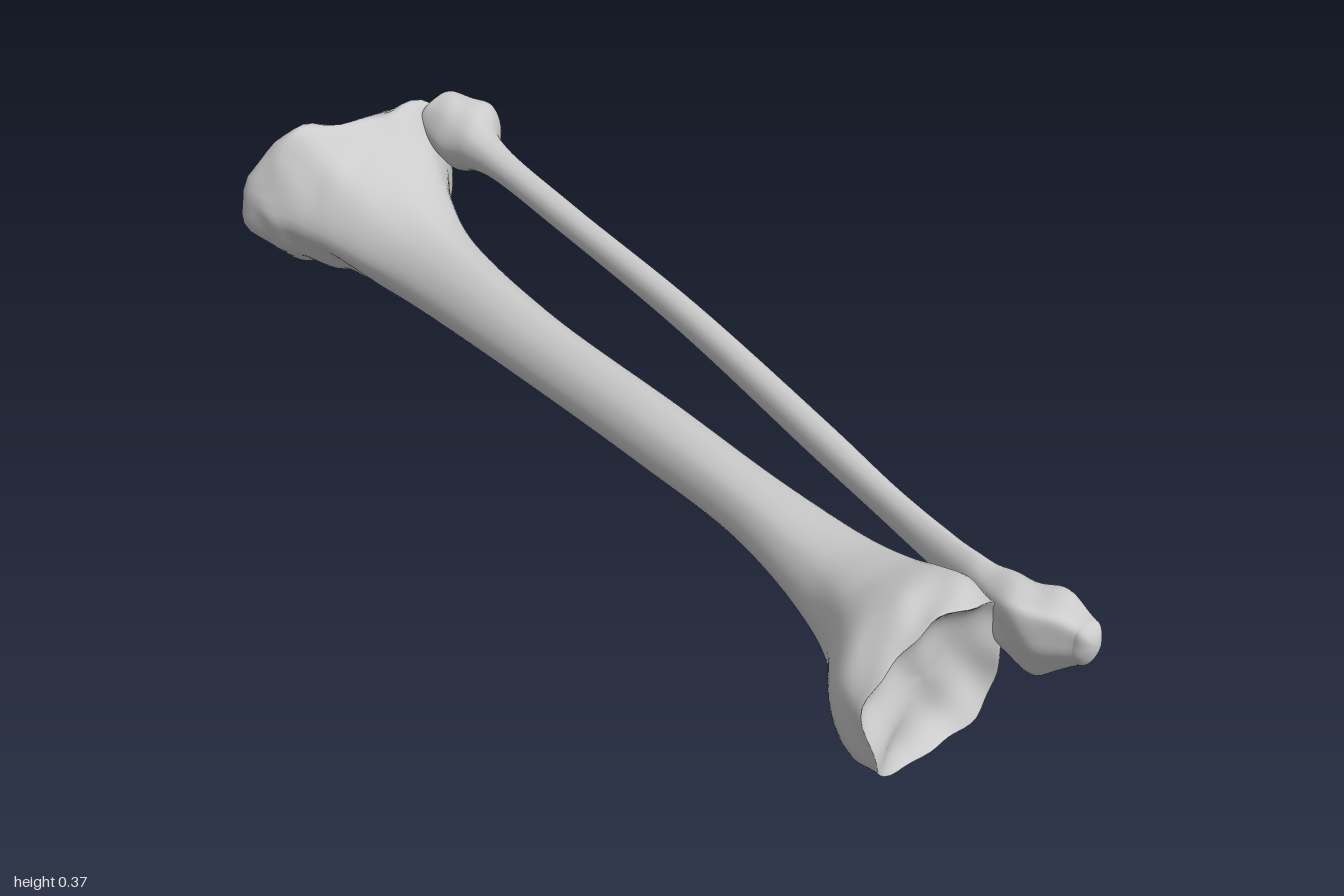
import * as THREE from 'three';

const COLS = 56, STEPS = 9;
const { smoothstep } = THREE.MathUtils;
const bump = (dx, dy, r) => Math.exp(-(dx * dx + dy * dy) / (r * r));

// Section: z, centre x, centre y, then 8 radii counter-clockwise from +x
// (or just rx, ry for an ellipse). Ordered from the front end to the back end.
const TIBIA = [
  [0.87, -0.105, 0.12, 0.12, 0.142, 0.11, 0.1, 0.132, 0.146, 0.114, 0.12],
  [0.8, -0.105, 0.12, 0.112, 0.148, 0.115, 0.105, 0.125, 0.145, 0.115, 0.11],
  [0.7, -0.075, 0.125, 0.095, 0.105, 0.085, 0.085, 0.085, 0.1, 0.095, 0.09],
  [0.6, -0.055, 0.125, 0.075, 0.08, 0.068, 0.07, 0.075, 0.075, 0.068, 0.07],
  [0.4, -0.04, 0.137, 0.06, 0.058, 0.055, 0.06, 0.06, 0.055, 0.052, 0.054],
  [0.1, -0.027, 0.137, 0.06, 0.058, 0.06, 0.06, 0.06, 0.055, 0.06, 0.065],
  [-0.3, -0.018, 0.137, 0.062, 0.062, 0.067, 0.065, 0.067, 0.06, 0.068, 0.075],
  [-0.6, -0.005, 0.14, 0.082, 0.085, 0.085, 0.08, 0.085, 0.075, 0.08, 0.1],
  [-0.7, 0, 0.15, 0.1, 0.11, 0.105, 0.105, 0.11, 0.09, 0.098, 0.125],
  [-0.8, 0, 0.18, 0.14, 0.15, 0.125, 0.15, 0.155, 0.115, 0.137, 0.16],
  [-0.87, 0, 0.2, 0.19, 0.205, 0.145, 0.212, 0.212, 0.16, 0.15, 0.165],
  [-0.92, 0, 0.2, 0.203, 0.2, 0.135, 0.212, 0.233, 0.17, 0.138, 0.16],
  [-0.95, 0, 0.2, 0.188, 0.175, 0.118, 0.185, 0.212, 0.152, 0.115, 0.148],
];
const FIBULA = [
  [0.98, 0.065, 0.19, 0.025, 0.03, 0.03, 0.03, 0.025, 0.03, 0.04, 0.03],
  [0.92, 0.045, 0.18, 0.048, 0.065, 0.052, 0.07, 0.045, 0.046, 0.075, 0.055],
  [0.85, 0.042, 0.18, 0.036, 0.05, 0.052, 0.052, 0.038, 0.045, 0.06, 0.05],
  [0.78, 0.048, 0.187, 0.027, 0.04],
  [0.6, 0.057, 0.205, 0.022, 0.03],
  [0.4, 0.07, 0.23, 0.025, 0.03],
  [0, 0.105, 0.268, 0.025, 0.028],
  [-0.4, 0.133, 0.29, 0.026, 0.026],
  [-0.65, 0.152, 0.302, 0.032, 0.03],
  [-0.72, 0.16, 0.302, 0.044, 0.044],
  [-0.78, 0.17, 0.3, 0.068, 0.075, 0.065, 0.06, 0.065, 0.06, 0.062, 0.07],
  [-0.84, 0.155, 0.32, 0.045, 0.054, 0.052, 0.05, 0.045, 0.045, 0.045, 0.045],
];

// Smooth closed outline of one section
function outline([z, cx, cy, ...r]) {
  const pts = [];
  for (let i = 0; i < 8; i++) {
    const a = i * Math.PI / 4, c = Math.cos(a), s = Math.sin(a);
    const [rx, ry] = r.length === 2 ? r : [r[i], r[i]];
    pts.push(new THREE.Vector3(cx + rx * c, cy + ry * s, z));
  }
  const curve = new THREE.CatmullRomCurve3(pts, true);
  return Array.from({ length: COLS }, (_, j) => curve.getPoint(j / COLS));
}

// Skin through the sections, closed by a domed cap at each end
function boneGeometry(sections, dome, warp) {
  const outlines = sections.map(outline);
  const columns = Array.from({ length: COLS }, (_, j) =>
    new THREE.CatmullRomCurve3(outlines.map(o => o[j])));
  const rows = [];
  const capRow = (k, s, dir) => {
    const [z, cx, cy] = sections[k];
    const zc = z + dir * dome * Math.sqrt(1 - s * s);
    rows.push(outlines[k].map(p => warp(new THREE.Vector3(
      cx + (p.x - cx) * s, cy + (p.y - cy) * s, zc), s)));
  };
  const scales = [0, 0.12, 0.25, 0.38, 0.5, 0.62, 0.73, 0.82, 0.9, 0.96, 0.99];
  const last = sections.length - 1, n = last * STEPS;
  scales.forEach(s => capRow(0, s, 1));
  for (let i = 0; i <= n; i++) rows.push(columns.map(c => warp(c.getPoint(i / n), 1)));
  [...scales].reverse().forEach(s => capRow(last, s, -1));

  const index = [];
  for (let i = 0; i < rows.length - 1; i++) {
    for (let j = 0; j < COLS; j++) {
      const a = i * COLS + j, c = i * COLS + (j + 1) % COLS;
      index.push(a, a + COLS, c, c, a + COLS, c + COLS);
    }
  }
  const geo = new THREE.BufferGeometry().setFromPoints(rows.flat());
  geo.setIndex(index);
  geo.computeVertexNormals();
  return geo;
}

// Slight unevenness of the bone ends
function roughen(p, amount) {
  p.x += amount * Math.sin(p.y * 61 + p.z * 47);
  p.y += amount * Math.sin(p.x * 53 + p.z * 71 + 1);
  p.z += amount * Math.sin(p.x * 67 + p.y * 43 + 2);
  return p;
}

function warpTibia(p, s) {
  const { x, y, z } = p;
  const ankle = smoothstep(z, 0.74, 0.87), knee = smoothstep(-z, 0.82, 0.95);
  const inner = 1 - s ** 5;
  // ankle: inner projection and a dished joint face
  p.z += ankle * (0.03 * bump(x + 0.2, y - 0.06, 0.05) + 0.012 * bump(x + 0.05, y - 0.21, 0.06));
  p.z -= ankle * inner * 0.04;
  // knee: sloping plateau, two shallow dishes and a central peak
  p.z += knee * 0.35 * Math.max(0, y - 0.24);
  p.z += knee * inner * 0.02 * (bump(x + 0.12, y - 0.23, 0.08) + bump(x - 0.11, y - 0.22, 0.08));
  p.z -= knee * inner * 0.04 * bump(x + 0.01, y - 0.22, 0.05);
  return roughen(p, 0.003 * Math.max(ankle, smoothstep(-z, 0.7, 0.9)));
}

function warpFibula(p) {
  return roughen(p, 0.002 * smoothstep(Math.abs(p.z), 0.65, 0.85));
}

export function createModel() {
  const group = new THREE.Group();
  group.name = 'lowerLegBones';
  const material = new THREE.MeshStandardMaterial({ color: 0xcccccc });
  const add = (name, geometry) => {
    const mesh = new THREE.Mesh(geometry, material);
    mesh.name = name;
    group.add(mesh);
  };
  add('shinBone', boneGeometry(TIBIA, 0.012, warpTibia));
  add('calfBone', boneGeometry(FIBULA, 0.02, warpFibula));
  return group;
}
